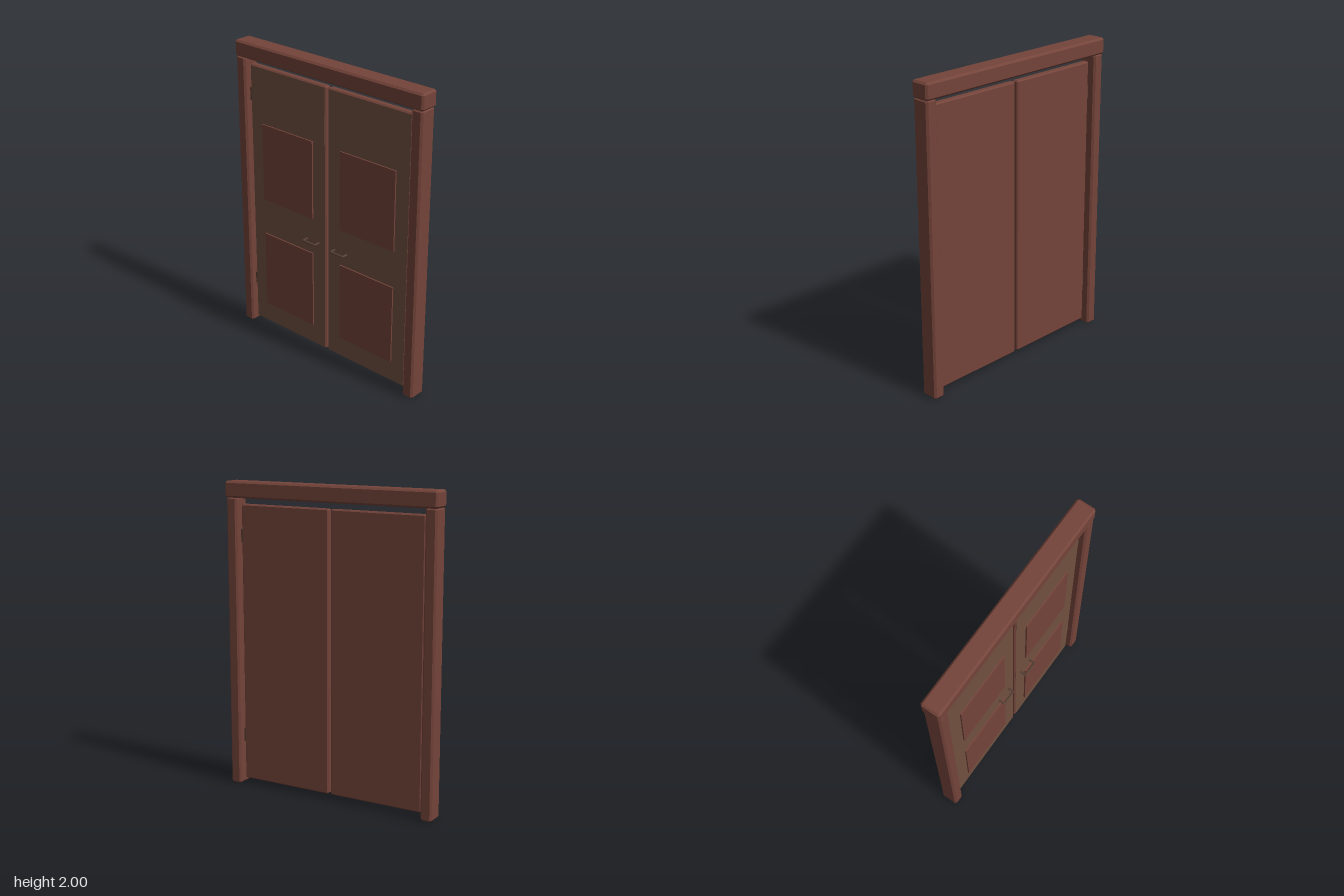
import * as THREE from 'three';
import { ConvexGeometry } from 'three/addons/geometries/ConvexGeometry.js';

const mat = (name, color) => {
  const m = new THREE.MeshStandardMaterial({ color });
  m.name = name;
  return m;
};

// Box with every edge cut at 45 degrees by c
function chamferBox(w, h, d, c) {
  const half = [w / 2, h / 2, d / 2];
  const points = [];
  for (const sx of [-1, 1]) for (const sy of [-1, 1]) for (const sz of [-1, 1]) {
    for (let full = 0; full < 3; full++) {
      const p = [sx, sy, sz].map((s, i) => s * (half[i] - (i === full ? 0 : c)));
      points.push(new THREE.Vector3(...p));
    }
  }
  return new ConvexGeometry(points);
}

export function createModel() {
  const red = mat('redWood', 0x74443a);
  const brown = mat('brownWood', 0x705040);
  const metal = mat('darkMetal', 0x5a4236);
  const model = new THREE.Group();
  model.name = 'doubleDoor';

  // Adds a box between two corners; c > 0 chamfers the edges
  function block(parent, name, material, x, y, z, c = 0) {
    const [w, h, d] = [x, y, z].map(([a, b]) => Math.abs(b - a));
    const geo = c ? chamferBox(w, h, d, c) : new THREE.BoxGeometry(w, h, d);
    const mesh = new THREE.Mesh(geo, material);
    mesh.name = name;
    mesh.position.set((x[0] + x[1]) / 2, (y[0] + y[1]) / 2, (z[0] + z[1]) / 2);
    parent.add(mesh);
  }

  // Header beam across both posts
  block(model, 'header', red, [-0.745, 0.745], [1.895, 2], [-0.07, 0.057], 0.012);

  for (const s of [-1, 1]) {
    const side = s > 0 ? 'left' : 'right';
    const span = (a, b) => [s * a, s * b];

    // Frame post
    block(model, side + 'Post', red, span(0.663, 0.74), [0, 1.9], [-0.063, 0.054], 0.012);

    // Door leaf with a brown front face
    const door = new THREE.Group();
    door.name = side + 'Door';
    model.add(door);
    block(door, 'leaf', red, span(0.008, 0.65), [0.035, 1.855], [-0.025, 0.02], 0.008);
    block(door, 'frontFace', brown, span(0.016, 0.642), [0.043, 1.847], [0.0195, 0.0205]);

    // Raised panels
    block(door, 'lowerPanel', red, span(0.115, 0.545), [0.18, 0.71], [0.015, 0.03]);
    block(door, 'upperPanel', red, span(0.115, 0.545), [0.955, 1.48], [0.015, 0.03]);

    // Hinges in the gap beside the post
    for (const y of [0.328, 1.652]) {
      block(door, 'hinge', metal, span(0.645, 0.668), [y - 0.043, y + 0.043], [-0.012, 0.012]);
    }

    // Bar handle bent back to the door at both ends
    const path = new THREE.CurvePath();
    const pts = [[0.068, 0.018], [0.068, 0.052], [0.077, 0.061], [0.159, 0.061], [0.168, 0.052], [0.168, 0.018]]
      .map(([x, z]) => new THREE.Vector3(s * x, 0.798, z));
    path.add(new THREE.LineCurve3(pts[0], pts[1]));
    path.add(new THREE.QuadraticBezierCurve3(pts[1], new THREE.Vector3(s * 0.068, 0.798, 0.061), pts[2]));
    path.add(new THREE.LineCurve3(pts[2], pts[3]));
    path.add(new THREE.QuadraticBezierCurve3(pts[3], new THREE.Vector3(s * 0.168, 0.798, 0.061), pts[4]));
    path.add(new THREE.LineCurve3(pts[4], pts[5]));
    const handle = new THREE.Mesh(new THREE.TubeGeometry(path, 40, 0.007, 8), metal);
    handle.name = 'handle';
    door.add(handle);
  }
  return model;
}
